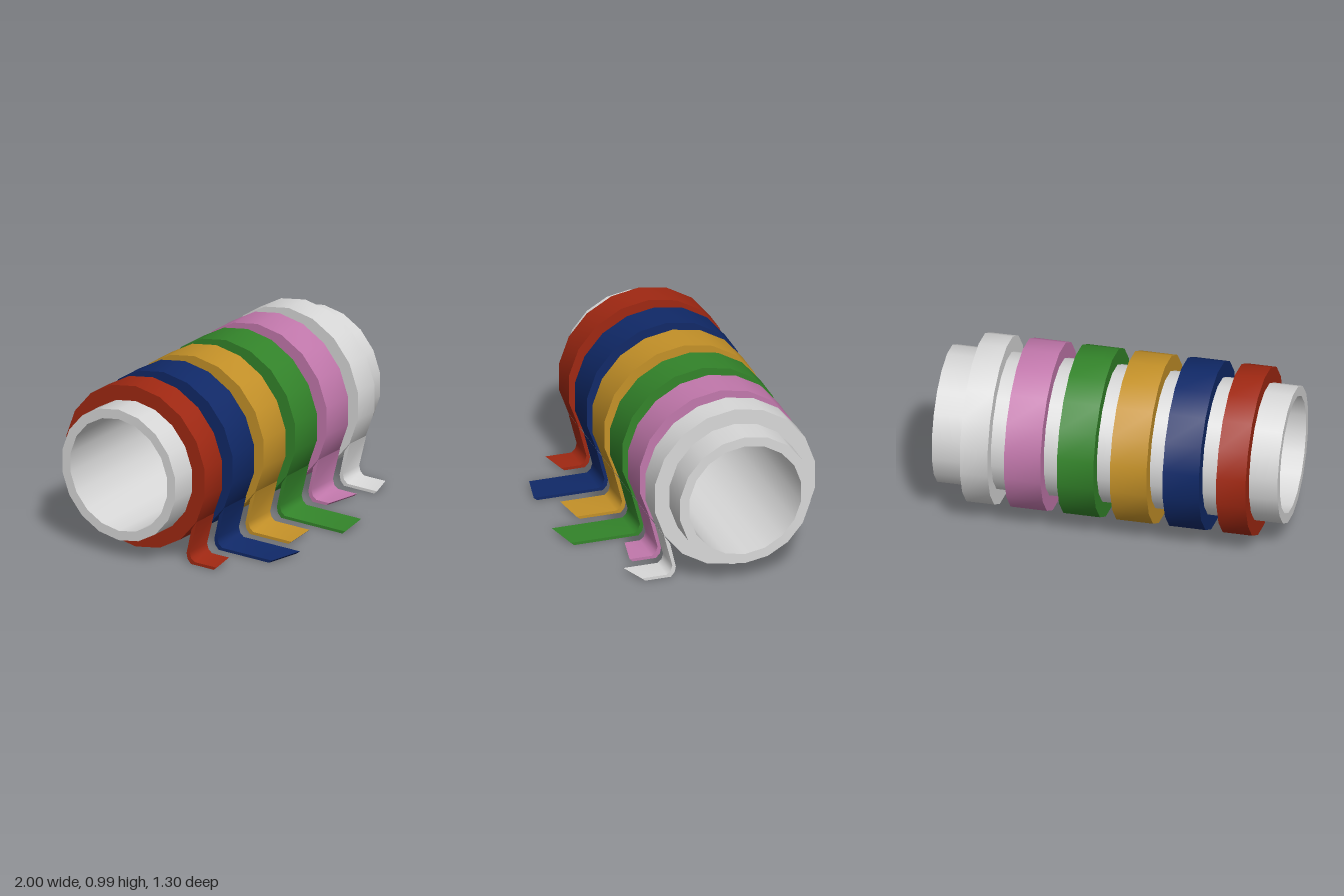
import * as THREE from 'three';
import { toCreasedNormals } from 'three/addons/utils/BufferGeometryUtils.js';

const SIDES = 18, AXIS_Y = 0.505, AXIS_Z = -0.175;
const TUBE_IN = 0.338, TUBE_OUT = 0.395, ROLL_OUT = 0.485;

function makeMaterial(name, color) {
  const m = new THREE.MeshStandardMaterial({ color });
  m.name = name;
  return m;
}

// Profiles are drawn as (z, y) and extruded along x from x0 to x1
const toPoint = ([z, y]) => new THREE.Vector2(-z, y);

function extrudeAlongX(shape, x0, x1) {
  const g = new THREE.ExtrudeGeometry(shape, { depth: x1 - x0, bevelEnabled: false });
  g.rotateY(Math.PI / 2);
  g.translate(x0, 0, 0);
  return g;
}

function polygon(radius) {
  const pts = [];
  for (let i = 0; i < SIDES; i++) {
    const a = (i / SIDES) * Math.PI * 2;
    pts.push(toPoint([AXIS_Z + radius * Math.sin(a), AXIS_Y + radius * Math.cos(a)]));
  }
  return pts;
}

function ring(inner, outer, x0, x1) {
  const shape = new THREE.Shape(polygon(outer));
  shape.holes.push(new THREE.Path(polygon(inner)));
  return toCreasedNormals(extrudeAlongX(shape, x0, x1), 0.6);
}

// Loose ribbon end: hangs off the roll, bends forward and is cut at a slant
function tail(x0, x1, end0, end1) {
  const shape = new THREE.Shape([
    [0.247, 0.262], [0.198, 0.07], [0.208, 0.036], [0.232, 0.017], [1, 0.017],
    [0.98, 0], [0.207, 0], [0.184, 0.026], [0.177, 0.06], [0.211, 0.21],
  ].map(toPoint));
  const g = extrudeAlongX(shape, x0, x1);
  const p = g.attributes.position;
  for (let i = 0; i < p.count; i++) {
    if (p.getZ(i) < 0.9) continue;
    const t = (p.getX(i) - x0) / (x1 - x0);
    p.setZ(i, p.getZ(i) - 1 + THREE.MathUtils.lerp(end0, end1, t));
  }
  return toCreasedNormals(g, 0.9);
}

export function createModel() {
  const model = new THREE.Group();
  model.name = 'ribbonRolls';
  const white = makeMaterial('white', 0xd8d8d8);

  const add = (parent, name, geometry, material) => {
    const mesh = new THREE.Mesh(geometry, material);
    mesh.name = name;
    parent.add(mesh);
  };

  // Core tube
  add(model, 'coreTube', ring(TUBE_IN, TUBE_OUT, -1, 1), white);

  // Ribbons: name, material, x range, tail length at each edge
  const ribbons = [
    ['red', makeMaterial('red', 0xa02812), -0.835, -0.665, 0.385, 0.35],
    ['blue', makeMaterial('blue', 0x102968), -0.565, -0.355, 0.575, 0.62],
    ['gold', makeMaterial('gold', 0xc49128), -0.262, -0.05, 0.495, 0.47],
    ['green', makeMaterial('green', 0x33842a), 0.045, 0.257, 0.65, 0.61],
    ['pink', makeMaterial('pink', 0xc278ac), 0.352, 0.562, 0.322, 0.365],
    ['white', white, 0.657, 0.818, 0.435, 0.38],
  ];
  for (const [name, material, x0, x1, end0, end1] of ribbons) {
    const ribbon = new THREE.Group();
    ribbon.name = name + 'Ribbon';
    add(ribbon, name + 'Roll', ring(TUBE_OUT, ROLL_OUT, x0, x1), material);
    add(ribbon, name + 'Tail', tail(x0, x1, end0, end1), material);
    model.add(ribbon);
  }
  return model;
}
